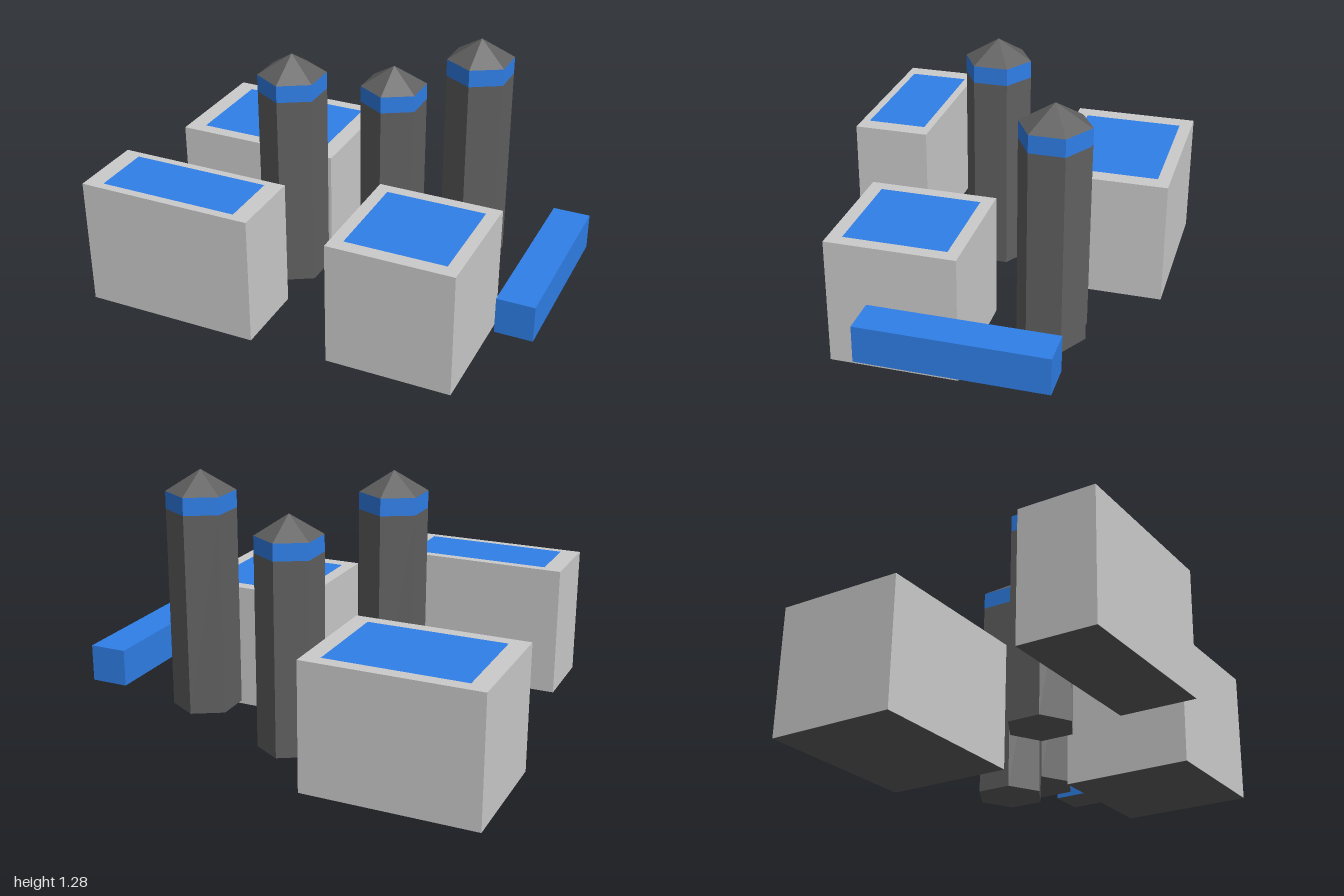
import * as THREE from 'three';

const material = (color) => new THREE.MeshStandardMaterial({ color, flatShading: true });

export function createModel() {
  const model = new THREE.Group();
  const grey = material(0xcccccc);
  const dark = material(0x606060);
  const blue = material(0x2f7fe8);

  function add(parent, name, geometry, mat, x, y, z) {
    const mesh = new THREE.Mesh(geometry, mat);
    mesh.name = name;
    mesh.position.set(x, y, z);
    parent.add(mesh);
    return mesh;
  }

  function group(name) {
    const g = new THREE.Group();
    g.name = name;
    model.add(g);
    return g;
  }

  // Box between two corners, with a dark sheet covering its underside
  function block(parent, name, mat, [x0, x1], [y0, y1], [z0, z1]) {
    const w = x1 - x0, h = y1 - y0, d = z1 - z0;
    const cx = (x0 + x1) / 2, cz = (z0 + z1) / 2;
    add(parent, name, new THREE.BoxGeometry(w, h, d), mat, cx, (y0 + y1) / 2, cz);
    add(parent, 'underside', new THREE.PlaneGeometry(w, d), dark, cx, y0 - 0.001, cz)
      .rotation.x = Math.PI / 2;
  }

  // Grey buildings with an inset blue roof panel
  function building(name, xs, ys, zs, [px0, px1], [pz0, pz1]) {
    const g = group(name);
    block(g, 'walls', grey, xs, ys, zs);
    add(g, 'roofPanel', new THREE.PlaneGeometry(px1 - px0, pz1 - pz0), blue,
      (px0 + px1) / 2, ys[1] + 0.001, (pz0 + pz1) / 2).rotation.x = -Math.PI / 2;
  }
  building('backBuilding', [-1, -0.19], [0.03, 0.63], [-0.76, -0.16], [-0.915, -0.27], [-0.7, -0.22]);
  building('frontBuilding', [-0.957, -0.145], [0.18, 0.775], [0.4, 0.755], [-0.873, -0.226], [0.437, 0.717]);
  building('leftBuilding', [0.125, 0.72], [0.03, 0.63], [-0.027, 0.57], [0.185, 0.66], [0.03, 0.505]);

  // Hexagonal towers: shaft, blue band and pointed roof
  const radius = 0.156, shaft = 0.925, band = 0.08, roof = 0.096;
  const towers = [[-0.265, 0.15, 0.075], [0.072, 0.003, -0.3], [0.465, 0.178, -0.375]];
  for (const [x, y, z] of towers) {
    const g = group('tower');
    g.position.set(x, y, z);
    add(g, 'shaft', new THREE.CylinderGeometry(radius, radius, shaft, 6), dark, 0, shaft / 2, 0);
    add(g, 'band', new THREE.CylinderGeometry(radius, radius, band, 6, 1, true), blue, 0, shaft + band / 2, 0);
    add(g, 'roof', new THREE.ConeGeometry(radius, roof, 6, 1, true), dark, 0, shaft + band + roof / 2, 0);
  }

  // Long blue bar at the side
  block(group('sideBar'), 'bar', blue, [0.825, 1], [0.245, 0.417], [-0.51, 0.34]);

  return model;
}
